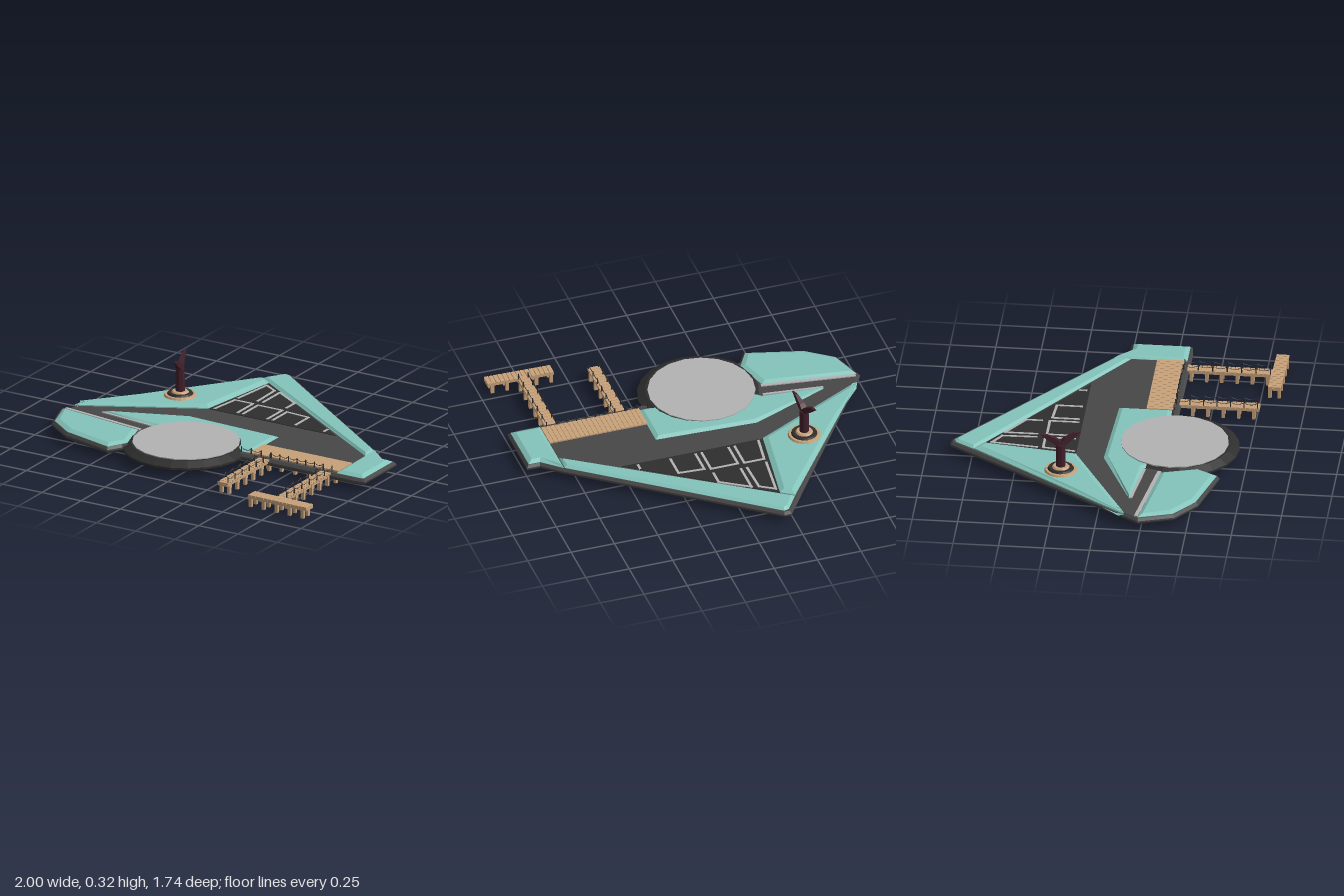
import * as THREE from 'three';

const mat = (color) => new THREE.MeshStandardMaterial({ color, flatShading: true, side: THREE.DoubleSide });
const TEAL = mat(0x84c4bb), DARK = mat(0x474747), BLACK = mat(0x2e2e2e), GREY = mat(0xb3b3b3);
const WOOD = mat(0xc8a27a), MAROON = mat(0x42202a), UNDER = mat(0x3c605a);

function add(parent, name, geometry, material, x = 0, y = 0, z = 0) {
  const mesh = new THREE.Mesh(geometry, material);
  mesh.name = name;
  mesh.position.set(x, y, z);
  parent.add(mesh);
  return mesh;
}

// Plate with a bevelled rim from an outline of [x, z] points, between heights y0 and y1
function plate(parent, name, outline, y0, y1, material, bevel = 0.02, rise = 0.012) {
  const shape = new THREE.Shape(outline.map(([x, z]) => new THREE.Vector2(x, -z)));
  const geo = new THREE.ExtrudeGeometry(shape, {
    depth: y1 - y0 - 2 * rise, bevelEnabled: bevel > 0, bevelSegments: 1,
    bevelSize: bevel, bevelOffset: -bevel, bevelThickness: rise,
  });
  geo.rotateX(-Math.PI / 2);
  return add(parent, name, geo, material, 0, y0 + rise, 0);
}

// Flat strip along a line of [x, z] points
function strips(parent, name, points, y, width, material) {
  for (let i = 1; i < points.length; i++) {
    const [ax, az] = points[i - 1], [bx, bz] = points[i];
    const length = Math.hypot(bx - ax, bz - az) + width;
    const bar = add(parent, name, new THREE.BoxGeometry(length, 0.006, width), material, (ax + bx) / 2, y, (az + bz) / 2);
    bar.rotation.y = -Math.atan2(bz - az, bx - ax);
  }
}

// Row of posts joined by sagging ropes
function railing(parent, ax, az, bx, bz, count) {
  const at = (i, y) => new THREE.Vector3(ax + (bx - ax) * i / count, y, az + (bz - az) * i / count);
  for (let i = 0; i <= count; i++) {
    const p = at(i, 0.085);
    add(parent, 'railPost', new THREE.CylinderGeometry(0.003, 0.004, 0.036, 5), BLACK, p.x, p.y, p.z);
    if (i === count) continue;
    const curve = new THREE.QuadraticBezierCurve3(at(i, 0.098), at(i + 0.5, 0.075), at(i + 1, 0.098));
    add(parent, 'railRope', new THREE.TubeGeometry(curve, 5, 0.0018, 4), BLACK);
  }
}

// Planked walkway on legs, running along z
function walkway(name, x0, x1, z0, z1, rows) {
  const group = new THREE.Group();
  group.name = name;
  const planks = Math.round((z1 - z0) / 0.026), step = (z1 - z0) / planks, w = x1 - x0;
  add(group, 'walkwayBed', new THREE.BoxGeometry(w - 0.006, 0.012, z1 - z0), WOOD, (x0 + x1) / 2, 0.054, (z0 + z1) / 2);
  for (let i = 0; i < planks; i++)
    add(group, 'plank', new THREE.BoxGeometry(w, 0.01, step - 0.003), WOOD, (x0 + x1) / 2, 0.064, z0 + step * (i + 0.5));
  for (let i = 0; i < rows; i++)
    for (const x of [x0 + 0.01, x1 - 0.01])
      add(group, 'leg', new THREE.BoxGeometry(0.018, 0.064, 0.018), WOOD, x, 0.032, z1 - 0.03 - i * 0.084);
  return group;
}

export function createModel() {
  const model = new THREE.Group();
  model.name = 'harbourPlatform';

  // Hull
  plate(model, 'hull', [[-0.23, -0.87], [-0.19, -0.87], [0.83, -0.09], [0.925, -0.005], [1, -0.005], [1, 0.33],
    [0.93, 0.34], [0.15, 0.335], [-0.1, 0.5], [-0.41, 0.55], [-0.46, 0.63], [-0.78, 0.545], [-0.935, 0.43], [-1, 0.235]],
  0.033, 0.07, DARK, 0.012, 0.014);

  // Underside keel and panels
  plate(model, 'keel', [[0.02, -0.56], [0.25, -0.43], [0.24, 0.32], [0.04, 0.26]], 0.022, 0.038, DARK, 0.012, 0.006);
  plate(model, 'keelPanel', [[0.04, -0.53], [0.22, -0.41], [0.21, 0.3], [0.06, 0.24]], 0.019, 0.024, UNDER, 0, 0);
  plate(model, 'underPanel', [[0.62, -0.2], [0.8, -0.06], [0.8, 0.31], [0.62, 0.31]], 0.031, 0.035, BLACK, 0, 0);

  // Raised coloured panels
  plate(model, 'leftWingPanel', [[-0.295, -0.735], [-0.225, -0.685], [-0.3, -0.175], [-0.93, 0.15], [-0.955, 0.155]],
    0.055, 0.09, TEAL, 0.028, 0.014);
  plate(model, 'backPanel', [[-0.225, -0.84], [-0.195, -0.85], [0.81, -0.085], [0.81, 0.01], [-0.295, -0.735]],
    0.05, 0.083, TEAL, 0.018, 0.012);
  plate(model, 'sidePanel', [[0.815, -0.085], [0.92, 0.01], [0.985, 0.01], [0.985, 0.32], [0.815, 0.32]],
    0.05, 0.085, TEAL, 0.024, 0.014);
  plate(model, 'centrePanel', [[-0.32, -0.02], [0.255, 0.005], [0.255, 0.295], [-0.35, 0.31], [-0.42, 0.21], [-0.77, 0.165]],
    0.05, 0.082, TEAL, 0.022, 0.012);
  plate(model, 'frontWingPanel', [[-0.98, 0.235], [-0.46, 0.305], [-0.4, 0.5], [-0.465, 0.615], [-0.775, 0.53], [-0.92, 0.42]],
    0.05, 0.084, TEAL, 0.026, 0.012);

  // Dark triangular field with grey frame bars
  plate(model, 'darkField', [[-0.225, -0.685], [0.51, -0.175], [-0.3, -0.175]], 0.06, 0.073, BLACK, 0, 0);
  const frames = [
    [[-0.27, -0.19], [-0.245, -0.36], [-0.13, -0.36], [-0.13, -0.2]],
    [[-0.095, -0.2], [-0.095, -0.355], [0.06, -0.355], [0.06, -0.2]],
    [[0.095, -0.2], [0.095, -0.345], [0.24, -0.335], [0.24, -0.2]],
    [[0.425, -0.225], [0.425, -0.195]],
    [[-0.245, -0.395], [-0.215, -0.645], [-0.135, -0.595], [-0.13, -0.41]],
    [[-0.095, -0.41], [-0.095, -0.585], [0.06, -0.485], [0.06, -0.4]],
  ];
  for (const line of frames) strips(model, 'frameBar', line, 0.073, 0.014, GREY);
  strips(model, 'roadEdge', [[-0.96, 0.225], [-0.46, 0.297]], 0.073, 0.02, GREY);
  strips(model, 'roadEdge', [[-0.76, 0.175], [-0.44, 0.215]], 0.073, 0.014, GREY);

  // Round landing pad
  const rim = [[0, 0.033], [0.325, 0.033], [0.345, 0.046], [0.345, 0.058], [0.3, 0.083], [0, 0.083]];
  add(model, 'padRim', new THREE.LatheGeometry(rim.map(([r, y]) => new THREE.Vector2(r, y)), 22), BLACK, -0.12, 0, 0.36);
  add(model, 'padTop', new THREE.CylinderGeometry(0.295, 0.295, 0.01, 20), GREY, -0.125, 0.083, 0.35);

  // Monument: stepped base, post and a pair of wings
  const tower = new THREE.Group();
  tower.name = 'monument';
  tower.position.set(-0.518, 0, -0.235);
  tower.rotation.y = 0.27;
  model.add(tower);
  add(tower, 'baseRing', new THREE.CylinderGeometry(0.085, 0.092, 0.014, 20), WOOD, 0, 0.094, 0);
  add(tower, 'baseStep', new THREE.CylinderGeometry(0.066, 0.074, 0.012, 20), BLACK, 0, 0.104, 0);
  add(tower, 'baseCollar', new THREE.CylinderGeometry(0.042, 0.05, 0.01, 16), WOOD, 0, 0.113, 0);
  add(tower, 'post', new THREE.CylinderGeometry(0.025, 0.027, 0.14, 8), MAROON, 0, 0.178, 0);
  for (const side of [-1, 1]) {
    const wing = new THREE.Shape([[0, 0.25], [0.028, 0.25], [0.066, 0.277], [0.112, 0.317], [0.075, 0.315], [0.02, 0.285], [0, 0.265]]
      .map(([z, y]) => new THREE.Vector2(z * side, y)));
    const geo = new THREE.ExtrudeGeometry(wing, { depth: 0.036, bevelEnabled: false });
    geo.translate(0, 0, -0.018).rotateY(-Math.PI / 2);
    // taper the wing towards its tip
    const p = geo.attributes.position;
    for (let i = 0; i < p.count; i++) p.setX(i, p.getX(i) * (1 - 7 * Math.abs(p.getZ(i))));
    geo.computeVertexNormals();
    add(tower, 'wing', geo, MAROON);
  }

  // Wooden quay
  const quay = new THREE.Group();
  quay.name = 'quay';
  model.add(quay);
  for (let i = 0; i < 22; i++)
    add(quay, 'quayPlank', new THREE.BoxGeometry(0.0235, 0.02, 0.15), WOOD, 0.263 + i * 0.0257, 0.068, 0.23);
  add(quay, 'quayBed', new THREE.BoxGeometry(0.56, 0.014, 0.145), WOOD, 0.533, 0.067, 0.23);
  for (let i = 0; i < 7; i++)
    for (const z of [0.18, 0.29])
      add(quay, 'quayLeg', new THREE.BoxGeometry(0.018, 0.06, 0.018), WOOD, 0.275 + i * 0.086, 0.03, z);

  // Piers with railings
  model.add(walkway('shortPier', 0.325, 0.392, 0.3, 0.765, 6));
  model.add(walkway('longPier', 0.72, 0.785, 0.3, 0.8, 6));
  const head = walkway('pierHead', -0.035, 0.035, -0.19, 0.19, 5);
  head.rotation.y = Math.PI / 2 - 0.025;
  head.position.set(0.765, 0, 0.826);
  model.add(head);
  const rails = new THREE.Group();
  rails.name = 'railings';
  model.add(rails);
  for (const x of [0.33, 0.387]) railing(rails, x, 0.31, x, 0.755, 6);
  for (const x of [0.725, 0.78]) railing(rails, x, 0.31, x, 0.785, 6);
  railing(rails, 0.2, 0.305, 0.325, 0.305, 2);
  railing(rails, 0.39, 0.305, 0.72, 0.305, 6);

  return model;
}
